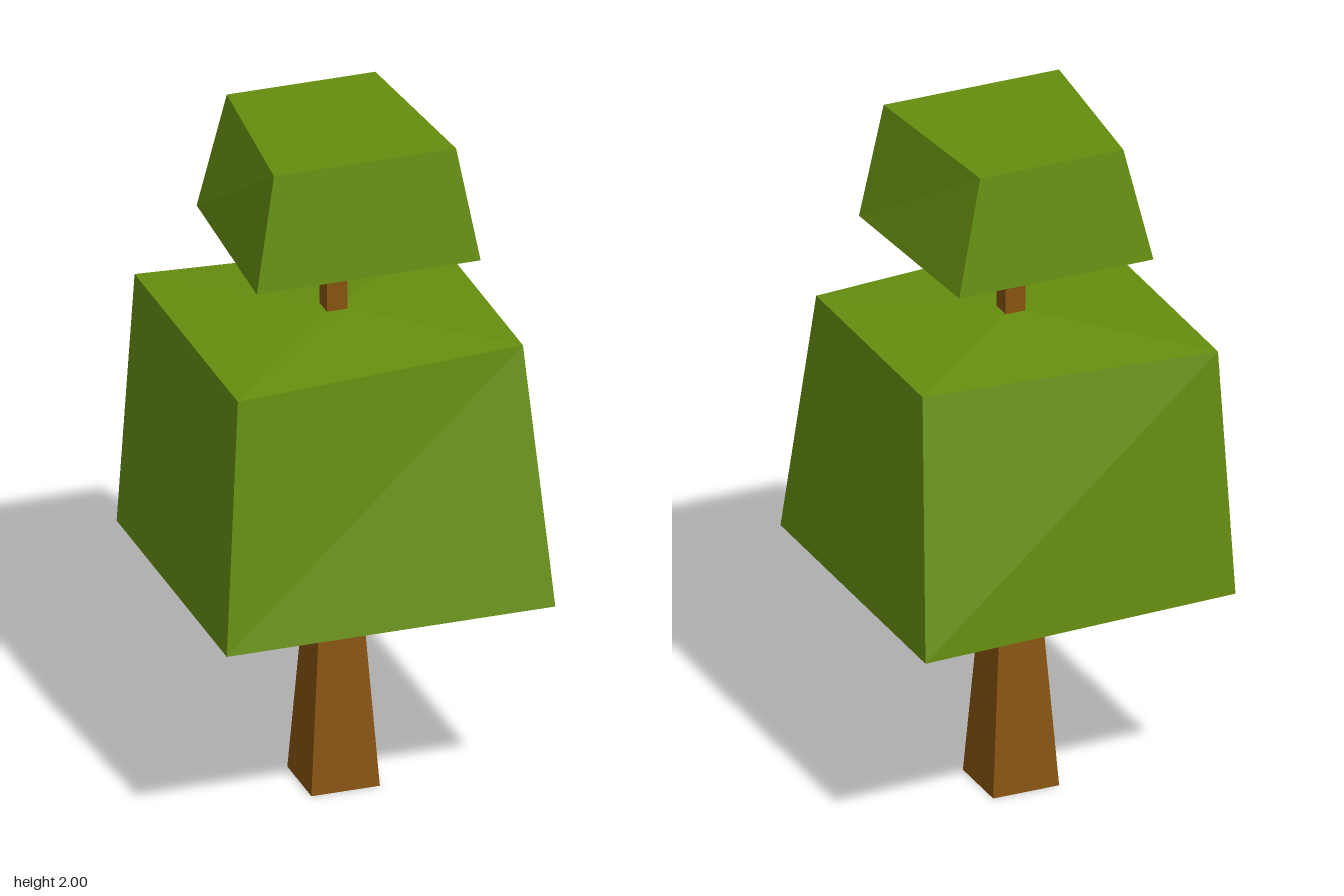
import * as THREE from 'three';

// Square ring of half-width s
const square = (y, s) => ({ y, p: [[-s, -s], [-s, s], [s, s], [s, -s]] });

// Joins four-cornered rings (back left, front left, front right, back right) from bottom to top
function loft(rings, capTop = false) {
  const pos = [];
  const corner = (r, i) => [r.p[i][0], r.y, r.p[i][1]];
  const quad = (a, b, c, d) => pos.push(...a, ...b, ...c, ...a, ...c, ...d);
  for (let k = 0; k < rings.length - 1; k++) {
    for (let i = 0; i < 4; i++) {
      const j = (i + 1) % 4;
      quad(corner(rings[k], i), corner(rings[k], j), corner(rings[k + 1], j), corner(rings[k + 1], i));
    }
  }
  if (capTop) quad(...[0, 1, 2, 3].map((i) => corner(rings[rings.length - 1], i)));
  const g = new THREE.BufferGeometry();
  g.setAttribute('position', new THREE.Float32BufferAttribute(pos, 3));
  g.computeVertexNormals();
  return g;
}

export function createModel() {
  const leaf = new THREE.MeshStandardMaterial({ color: 0x668e0f, flatShading: true });
  leaf.name = 'leafGreen';
  const bark = new THREE.MeshStandardMaterial({ color: 0x86530f, flatShading: true, side: THREE.DoubleSide });
  bark.name = 'barkBrown';

  const tree = new THREE.Group();
  tree.name = 'tree';
  const add = (name, geometry, material) => {
    const mesh = new THREE.Mesh(geometry, material);
    mesh.name = name;
    tree.add(mesh);
  };

  // Tapered trunk, open underneath
  add('trunk', loft([square(0, 0.1), square(0.59, 0.06)]), bark);

  // Large skewed leaf block, sloping in to the trunk below and above
  add('lowerFoliage', loft([
    square(0.59, 0.06),
    { y: 0.66, p: [[-0.48, -0.437], [-0.48, 0.477], [0.48, 0.477], [0.48, -0.48]] },
    { y: 1.41, p: [[-0.43, -0.43], [-0.43, 0.427], [0.43, 0.35], [0.43, -0.352]] },
    square(1.44, 0.03),
  ]), leaf);

  // Thin stem between the leaf blocks
  add('upperTrunk', loft([square(1.44, 0.03), square(1.65, 0.03)]), bark);

  // Small leaf block with a flat top
  add('upperFoliage', loft([
    square(1.65, 0.03),
    { y: 1.66, p: [[-0.296, -0.296], [-0.327, 0.292], [0.327, 0.292], [0.293, -0.296]] },
    { y: 2, p: [[-0.218, -0.267], [-0.267, 0.264], [0.265, 0.264], [0.216, -0.267]] },
  ], true), leaf);

  return tree;
}
